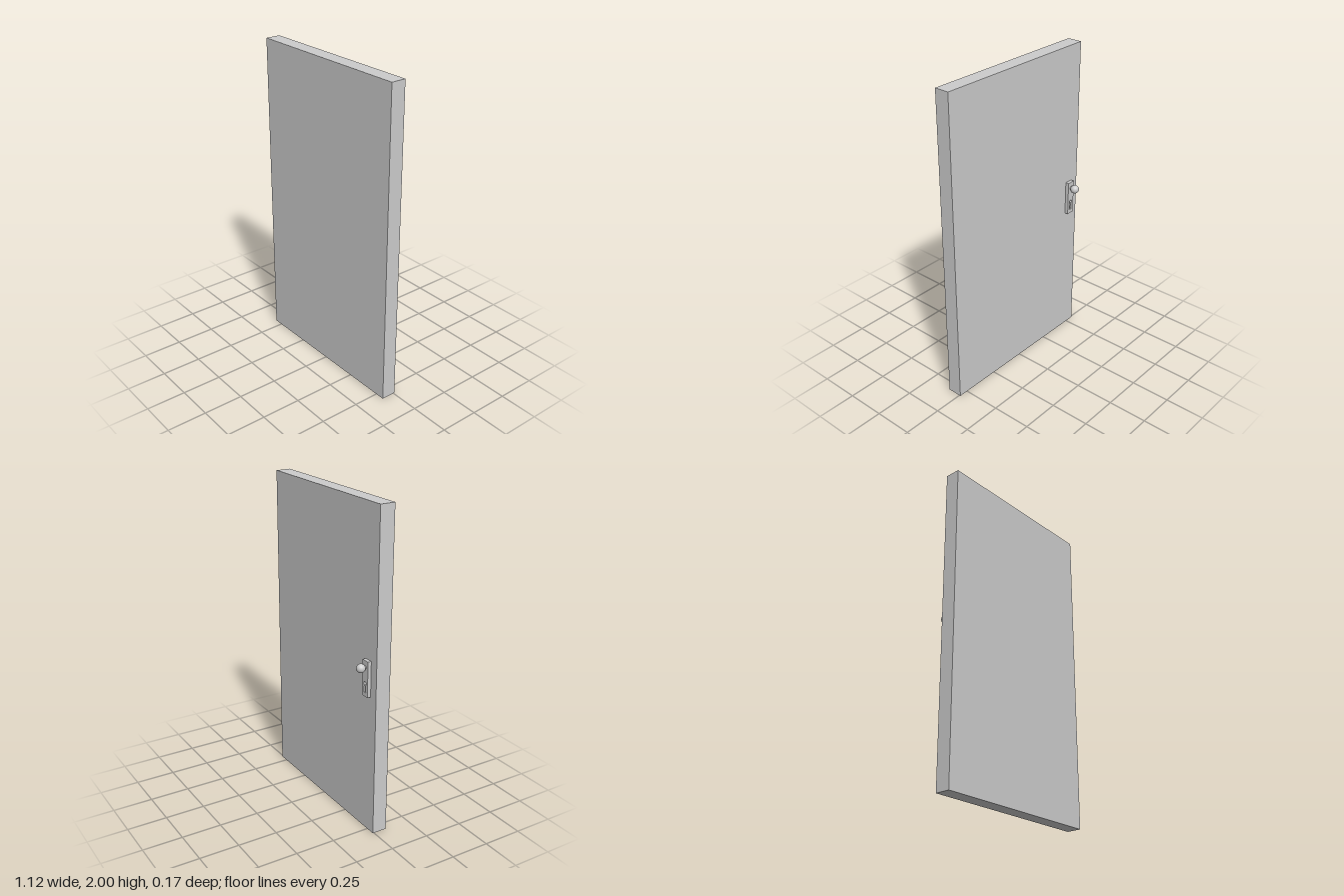
import * as THREE from 'three';

export function createModel() {
  const door = new THREE.Group();
  door.name = 'door';
  const grey = new THREE.MeshStandardMaterial({ color: 0xcccccc });
  const add = (name, geometry, x, y, z) => {
    const mesh = new THREE.Mesh(geometry, grey);
    mesh.name = name;
    mesh.position.set(x, y, z);
    door.add(mesh);
    return mesh;
  };
  const backZ = -0.008, frontZ = 0.086, plateZ = -0.03, lockX = -0.479;

  // Plain slab
  add('doorPanel', new THREE.BoxGeometry(1.12, 2, frontZ - backZ), 0, 1, (frontZ + backZ) / 2);

  // Lock plate with a keyhole: round top and flared slot
  const plate = new THREE.Shape();
  plate.moveTo(-0.027, -0.11);
  plate.lineTo(0.027, -0.11);
  plate.lineTo(0.027, 0.11);
  plate.lineTo(-0.027, 0.11);
  plate.closePath();
  const keyhole = new THREE.Path();
  keyhole.moveTo(-0.01, -0.085);
  keyhole.lineTo(0.01, -0.085);
  keyhole.absarc(0, -0.03, 0.012, -Math.PI / 3, Math.PI * 4 / 3, false);
  keyhole.closePath();
  plate.holes.push(keyhole);
  const plateGeometry = new THREE.ExtrudeGeometry(plate, {
    depth: backZ - plateZ, bevelEnabled: false, curveSegments: 16,
  });
  add('lockPlate', plateGeometry, lockX, 0.99, plateZ);

  // Round knob on a short stem
  const stem = add('knobStem', new THREE.CylinderGeometry(0.011, 0.011, 0.02, 24), lockX, 1.06, -0.034);
  stem.rotation.x = Math.PI / 2;
  add('knob', new THREE.SphereGeometry(0.027, 32, 20), lockX, 1.06, -0.06);

  return door;
}
